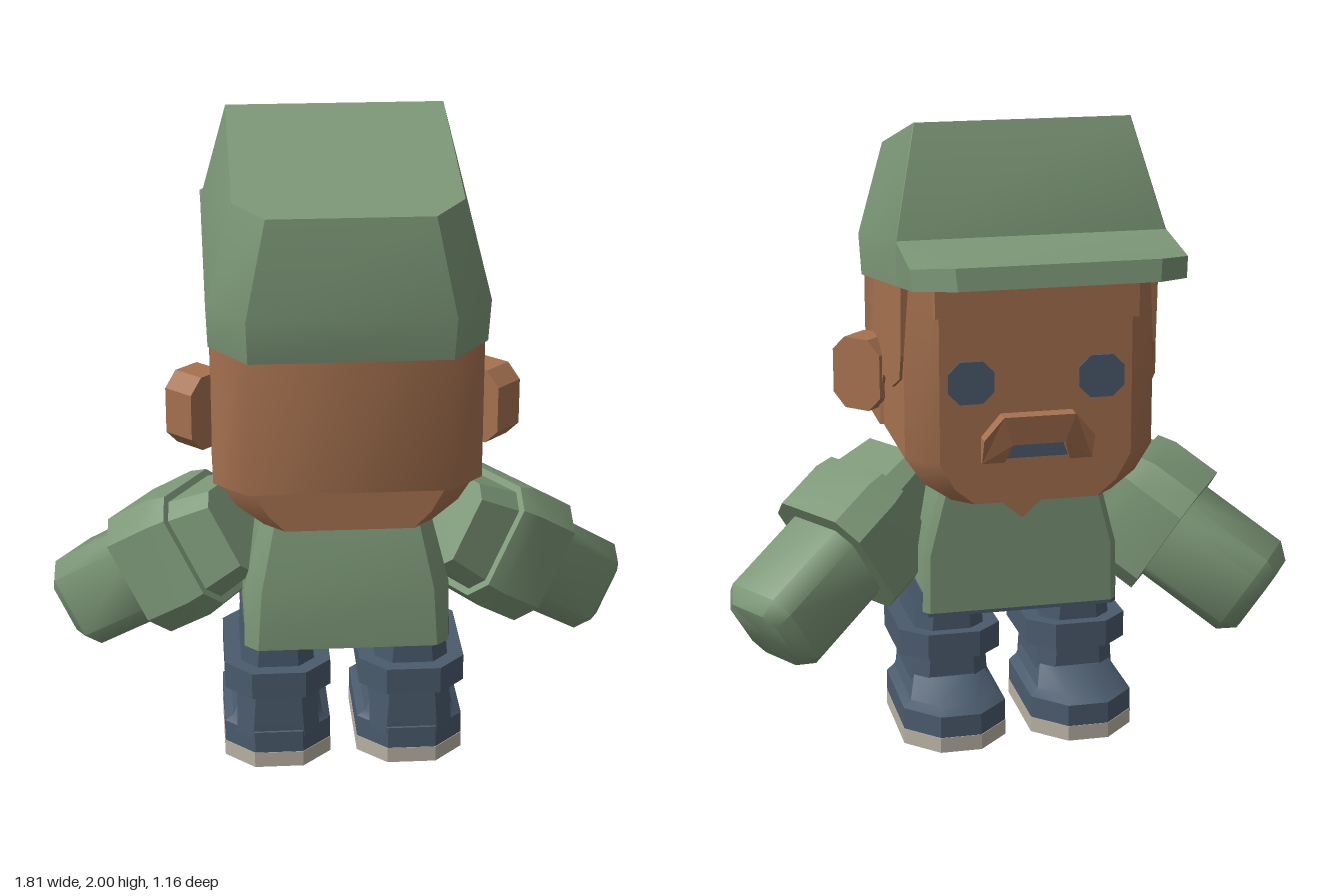
import * as THREE from 'three';
import { toCreasedNormals } from 'three/addons/utils/BufferGeometryUtils.js';

const green = new THREE.MeshStandardMaterial({ name: 'green cloth', color: 0x7c9777 });
const skin = new THREE.MeshStandardMaterial({ name: 'brown skin', color: 0xa5714f });
const navy = new THREE.MeshStandardMaterial({ name: 'navy denim', color: 0x4a5b6d });
const cream = new THREE.MeshStandardMaterial({ name: 'cream sole', color: 0xb9b1a3 });

// Chamfered rectangle: half width, back z and chamfer, front z and chamfer, height (number or rule of z)
function ring(hx, zb, cb, zf, cf, y) {
  const h = typeof y === 'function' ? y : () => y;
  return [
    [hx, zb - cb], [hx, zf + cf], [hx - cf, zf], [cf - hx, zf],
    [-hx, zf + cf], [-hx, zb - cb], [cb - hx, zb], [hx - cb, zb],
  ].map(([x, z]) => new THREE.Vector3(x, h(z), z));
}

// Closed solid through a stack of rings, lowest first
function loft(rings, crease = 0.5) {
  const pos = [];
  const tri = (...pts) => pts.forEach((p) => pos.push(p.x, p.y, p.z));
  const centre = (r) => r.reduce((s, p) => s.add(p), new THREE.Vector3()).divideScalar(r.length);
  const n = rings[0].length;
  const low = rings[0], high = rings[rings.length - 1];
  const c0 = centre(low), c1 = centre(high);
  for (let j = 0; j < n; j++) {
    const k = (j + 1) % n;
    for (let i = 0; i + 1 < rings.length; i++) {
      const a = rings[i], b = rings[i + 1];
      tri(a[j], a[k], b[k]);
      tri(a[j], b[k], b[j]);
    }
    tri(c0, low[k], low[j]);
    tri(c1, high[j], high[k]);
  }
  const geo = new THREE.BufferGeometry();
  geo.setAttribute('position', new THREE.Float32BufferAttribute(pos, 3));
  return toCreasedNormals(geo, crease);
}

// Flat outline extruded from z to z + depth
function plate(points, z, depth) {
  const shape = new THREE.Shape(points.map(([x, y]) => new THREE.Vector2(x, y)));
  return new THREE.ExtrudeGeometry(shape, { depth, bevelEnabled: false }).translate(0, 0, z);
}

const octagon = (w, h, c, x = 0, y = 0) => [
  [w, c - h], [w, h - c], [w - c, h], [c - w, h], [-w, h - c], [-w, c - h], [c - w, -h], [w - c, -h],
].map(([a, b]) => [a + x, b + y]);

// Straight slope through two (z, y) points
const slope = (z0, y0, z1, y1) => (z) => y0 + ((z - z0) * (y1 - y0)) / (z1 - z0);

function add(parent, name, geometry, material) {
  const mesh = new THREE.Mesh(geometry, material);
  mesh.name = name;
  parent.add(mesh);
  return mesh;
}

function buildHead(root) {
  const head = new THREE.Group();
  head.name = 'head';
  root.add(head);

  add(head, 'face', loft([
    ring(0.25, 0.515, 0.06, -0.29, 0.06, 0.87),
    ring(0.33, 0.515, 0.09, -0.29, 0.08, 0.92),
    ring(0.385, 0.515, 0.1, -0.29, 0.09, 1.0),
    ring(0.385, 0.515, 0.1, -0.29, 0.09, 1.54),
  ]), skin);

  // Hair: back shell, sideburn panels and fringe
  add(head, 'backHair', loft([
    ring(0.397, 0.545, 0.1, 0.18, 0.005, 1.0),
    ring(0.397, 0.545, 0.1, 0.18, 0.005, 1.5),
  ], 0.9), skin);
  const sides = plate([[0.2, 1.5], [0.2, 1.08], [0.12, 1.18], [-0.03, 1.18], [-0.17, 1.24],
    [-0.2, 1.32], [-0.215, 1.55]], -0.394, 0.788);
  add(head, 'sideHair', sides.rotateY(-Math.PI / 2), skin);
  add(head, 'fringe', plate([[-0.31, 1.55], [-0.31, 1.43], [-0.25, 1.43], [-0.19, 1.48], [-0.12, 1.43],
    [-0.05, 1.48], [0, 1.43], [0.07, 1.48], [0.14, 1.43], [0.22, 1.49], [0.31, 1.45], [0.31, 1.55]],
  -0.31, 0.1), skin);

  // Eyes, mouth and a moustache that slopes out towards its top
  for (const s of [1, -1]) {
    add(head, s > 0 ? 'leftEye' : 'rightEye', plate(octagon(0.07, 0.065, 0.035, 0.2 * s, 1.25), -0.298, 0.009), navy);
  }
  add(head, 'mouth', plate([[-0.1, 1.01], [0.1, 1.01], [0.08, 1.07], [-0.08, 1.07]], -0.297, 0.008), navy);
  const moustache = plate([[-0.17, 1.0], [-0.1, 1.0], [-0.08, 1.06], [0.08, 1.06], [0.1, 1.0], [0.17, 1.0],
    [0.17, 1.08], [0.11, 1.15], [-0.11, 1.15], [-0.17, 1.08]], -0.34, 0.06);
  const p = moustache.attributes.position;
  for (let i = 0; i < p.count; i++) {
    if (p.getZ(i) < -0.3) p.setZ(i, -0.305 - 0.037 * Math.min(1, (p.getY(i) - 1) / 0.09));
  }
  moustache.computeVertexNormals();
  add(head, 'moustache', moustache, skin);

  // Ears angled out and forward
  for (const s of [1, -1]) {
    const ear = add(head, s > 0 ? 'leftEar' : 'rightEar', plate(octagon(0.09, 0.115, 0.045), -0.053, 0.106), skin);
    ear.position.set(0.43 * s, 1.165, 0.235);
    ear.rotation.y = s * Math.PI * 0.75;
  }
}

function buildCap(root) {
  const cap = new THREE.Group();
  cap.name = 'cap';
  root.add(cap);
  const under = slope(0.56, 1.41, -0.58, 1.595);
  add(cap, 'crown', loft([
    ring(0.405, 0.56, 0.11, -0.235, 0.002, under),
    ring(0.41, 0.58, 0.11, -0.235, 0.002, slope(0.58, 1.54, -0.235, 1.675)),
    ring(0.33, 0.545, 0.09, -0.11, 0.002, slope(0.545, 1.83, -0.11, 2.0)),
  ]), green);
  const brimTop = (z) => (z > -0.46 ? slope(-0.235, 1.675, -0.46, 1.64)(z) : slope(-0.46, 1.64, -0.57, 1.66)(z));
  add(cap, 'brim', loft([
    ring(0.405, -0.2, 0.002, -0.58, 0.11, under),
    ring(0.41, -0.235, 0.002, -0.57, 0.11, brimTop),
  ]), green);
}

function buildBody(root) {
  add(root, 'shirt', loft([
    ring(0.312, 0.455, 0.04, -0.09, 0.02, 0.45),
    ring(0.31, 0.455, 0.05, -0.09, 0.02, 0.64),
    ring(0.25, 0.4, 0.04, -0.09, 0.02, 0.875),
  ]), green);
  add(root, 'neckOpening', plate([[0, 0.75], [0.15, 0.88], [-0.15, 0.88]], -0.097, 0.009), skin);
  add(root, 'hips', loft([
    ring(0.316, 0.405, 0.02, -0.08, 0.02, 0.435),
    ring(0.316, 0.405, 0.02, -0.08, 0.02, 0.515),
  ]), navy);
}

function buildArm() {
  const arm = new THREE.Group();
  // Built along +y, then aimed outwards, down and forward
  const dir = new THREE.Vector3(0.72, -0.54, -0.44).normalize();
  const side = new THREE.Vector3(dir.z, 0, -dir.x).normalize();
  const up = new THREE.Vector3().crossVectors(side, dir);
  arm.quaternion.setFromRotationMatrix(new THREE.Matrix4().makeBasis(side, dir, up));
  arm.position.set(0.38, 0.735, 0.21);
  const sq = (w, c, y) => ring(w, w, c, -w, c, y);
  add(arm, 'shoulder', loft([sq(0.14, 0.04, -0.12), sq(0.175, 0.05, 0.08)]), green);
  add(arm, 'sleeve', loft([sq(0.185, 0.06, 0.02), sq(0.2, 0.07, 0.08), sq(0.2, 0.07, 0.25)]), green);
  add(arm, 'forearm', loft([
    sq(0.15, 0.05, 0.2), sq(0.15, 0.05, 0.55), sq(0.115, 0.04, 0.6),
  ], 0.9), green);
  return arm;
}

function buildLeg() {
  const leg = new THREE.Group();
  leg.position.x = 0.208;
  add(leg, 'trouserLeg', loft([
    ring(0.13, 0.365, 0.05, -0.005, 0.05, 0.1),
    ring(0.12, 0.365, 0.05, -0.005, 0.05, 0.26),
    ring(0.105, 0.36, 0.05, -0.005, 0.05, 0.45),
  ]), navy);
  add(leg, 'kneeBand', loft([
    ring(0.163, 0.405, 0.08, -0.045, 0.08, slope(0.4, 0.26, -0.045, 0.275)),
    ring(0.163, 0.405, 0.08, -0.045, 0.08, slope(0.4, 0.345, -0.045, 0.36)),
  ]), navy);
  add(leg, 'shoe', loft([
    ring(0.165, 0.368, 0.09, -0.147, 0.1, 0.05),
    ring(0.165, 0.368, 0.09, -0.147, 0.1, 0.12),
    ring(0.14, 0.35, 0.07, -0.11, 0.08, 0.14),
    ring(0.115, 0.33, 0.05, -0.01, 0.05, 0.2),
  ]), navy);
  add(leg, 'sole', loft([
    ring(0.166, 0.37, 0.09, -0.149, 0.1, 0),
    ring(0.166, 0.37, 0.09, -0.149, 0.1, 0.05),
  ]), cream);
  return leg;
}

export function createModel() {
  const root = new THREE.Group();
  root.name = 'figure';
  buildHead(root);
  buildCap(root);
  buildBody(root);
  // Limbs mirrored across the middle
  for (const s of [1, -1]) {
    const limbs = new THREE.Group();
    limbs.name = s > 0 ? 'leftLimbs' : 'rightLimbs';
    limbs.scale.x = s;
    const arm = buildArm(), leg = buildLeg();
    arm.name = s > 0 ? 'leftArm' : 'rightArm';
    leg.name = s > 0 ? 'leftLeg' : 'rightLeg';
    limbs.add(arm, leg);
    root.add(limbs);
  }
  return root;
}
